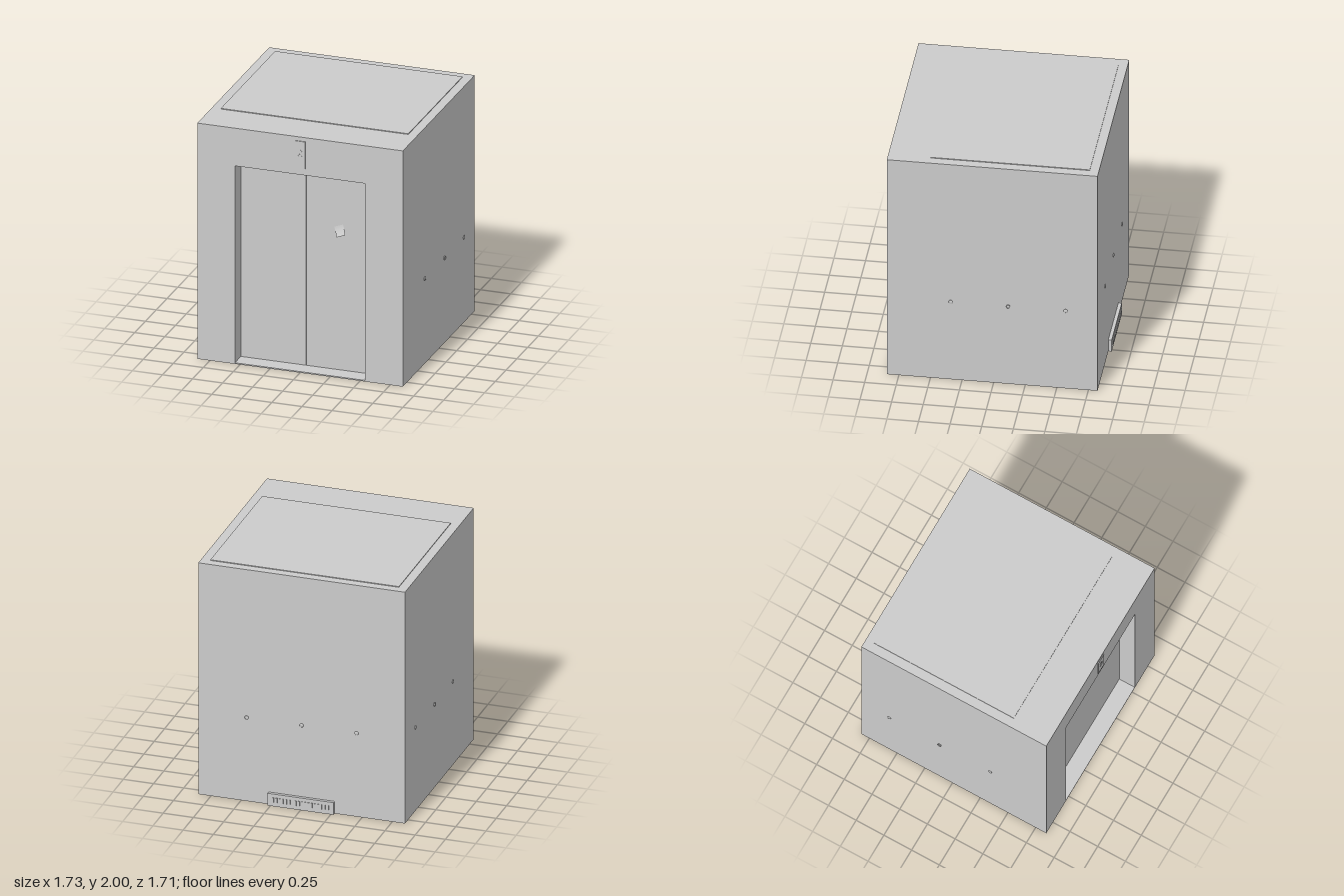
import * as THREE from 'three';

const W = 0.855, FRONT = 0.846, BACK = -0.822, ROOF = 1.994;
const DOOR_W = 0.542, DOOR_H = 1.675, DOOR_Z = 0.706, FLOOR = 0.01;

export function createModel() {
  const root = new THREE.Group();
  const grey = new THREE.MeshStandardMaterial({ color: 0xcccccc });
  const thin = new THREE.MeshStandardMaterial({ color: 0xcccccc, side: THREE.DoubleSide });

  const add = (name, geo, mat = grey, parent = root) => {
    const m = new THREE.Mesh(geo, mat);
    m.name = name;
    parent.add(m);
    return m;
  };
  // box given by its minimum and maximum corners
  const box = (name, [x0, y0, z0], [x1, y1, z1], parent = root) => {
    const m = add(name, new THREE.BoxGeometry(x1 - x0, y1 - y0, z1 - z0), grey, parent);
    m.position.set((x0 + x1) / 2, (y0 + y1) / 2, (z0 + z1) / 2);
    return m;
  };
  const polygon = (pts) => new THREE.Shape(pts.map(([x, y]) => new THREE.Vector2(x, y)));

  // cabin shell: floor, back and side walls, roof with a slightly raised panel
  const t = 0.03;
  box('floor', [-W, 0, BACK], [W, FLOOR, FRONT]);
  box('backWall', [-W, FLOOR, BACK], [W, ROOF, BACK + t]);
  for (const s of [-1, 1]) {
    const x = s * (W - t / 2);
    box(s > 0 ? 'leftWall' : 'rightWall', [x - t / 2, FLOOR, BACK + t], [x + t / 2, ROOF, DOOR_Z]);
  }
  box('roof', [-W, ROOF - t, BACK + t], [W, ROOF, DOOR_Z]);
  box('roofPanel', [-0.78, ROOF, -0.75], [0.78, 2, 0.51]);

  // thick front wall with the doorway cut out of its lower edge
  const wall = polygon([
    [-W, FLOOR], [-DOOR_W, FLOOR], [-DOOR_W, DOOR_H], [DOOR_W, DOOR_H],
    [DOOR_W, FLOOR], [W, FLOOR], [W, ROOF], [-W, ROOF],
  ]);
  const front = add('frontWall',
    new THREE.ExtrudeGeometry(wall, { depth: FRONT - DOOR_Z, bevelEnabled: false }));
  front.position.z = DOOR_Z;

  // two sliding doors with a narrow gap
  for (const s of [-1, 1]) {
    const x = s * 0.302;
    box(s > 0 ? 'leftDoor' : 'rightDoor',
      [x - 0.3, FLOOR, DOOR_Z - 0.03], [x + 0.3, DOOR_H + 0.03, DOOR_Z]);
  }

  // indicator plate above the doorway, with up and down arrows
  const indicator = new THREE.Group();
  indicator.name = 'indicator';
  root.add(indicator);
  box('indicatorPlate', [-0.045, 1.73, FRONT], [0.045, 1.96, 0.853], indicator);
  const arrow = polygon([
    [-0.005, 0.004], [0.005, 0.004], [0.005, 0.018], [0.018, 0.018],
    [0, 0.042], [-0.018, 0.018], [-0.005, 0.018],
  ]);
  for (const s of [0, 1]) {
    const a = add(s ? 'downArrow' : 'upArrow',
      new THREE.ExtrudeGeometry(arrow, { depth: 0.002, bevelEnabled: false }), grey, indicator);
    a.position.set(0, 1.855, 0.853);
    a.rotation.z = s * Math.PI;
  }

  // paper note stuck to the door, its lower edge curling outwards
  const paper = new THREE.PlaneGeometry(0.078, 0.08, 1, 8);
  const p = paper.attributes.position;
  for (let i = 0; i < p.count; i++) {
    const d = (0.04 - p.getY(i)) / 0.08;
    p.setZ(i, 0.002 + 0.012 * d + 0.022 * d * d);
  }
  paper.computeVertexNormals();
  const note = add('note', paper, thin);
  note.position.set(0.286, 1.192, DOOR_Z);
  note.rotation.z = 0.38;

  // rounded stud heads on both side walls and the back wall
  const studGeo = new THREE.LatheGeometry(
    [[0.016, 0], [0.016, 0.003], [0.013, 0.006], [0.007, 0.0075], [0, 0.008]]
      .map(([r, y]) => new THREE.Vector2(r, y)), 16);
  const ringGeo = new THREE.CylinderGeometry(0.015, 0.015, 0.008, 16, 1, true);
  ringGeo.translate(0, 0.004, 0);
  const stud = (x, z, dir, open) => {
    const m = add('stud', open ? ringGeo : studGeo, thin);
    m.position.set(x, 0.72, z);
    m.quaternion.setFromUnitVectors(new THREE.Vector3(0, 1, 0), dir);
  };
  for (const s of [-1, 1]) {
    [0.34, -0.115, -0.57].forEach((z, i) =>
      stud(s * W, z, new THREE.Vector3(s, 0, 0), i === 1));
  }
  for (const x of [-0.455, 0, 0.455]) stud(x, BACK, new THREE.Vector3(0, 0, -1), false);

  // low vent box on the back, with ribs that are spaced unevenly
  const vent = new THREE.Group();
  vent.name = 'vent';
  root.add(vent);
  box('ventBox', [-0.273, 0, -0.849], [0.273, 0.105, BACK], vent);
  for (let i = 0; i < 18; i++) {
    const x = 0.225 - i * 0.0265;
    const w = 0.008 + 0.004 * (i % 3);
    box('ventRib', [x - w / 2, 0.035, -0.855], [x + w / 2, 0.075, -0.849], vent);
  }
  return root;
}
